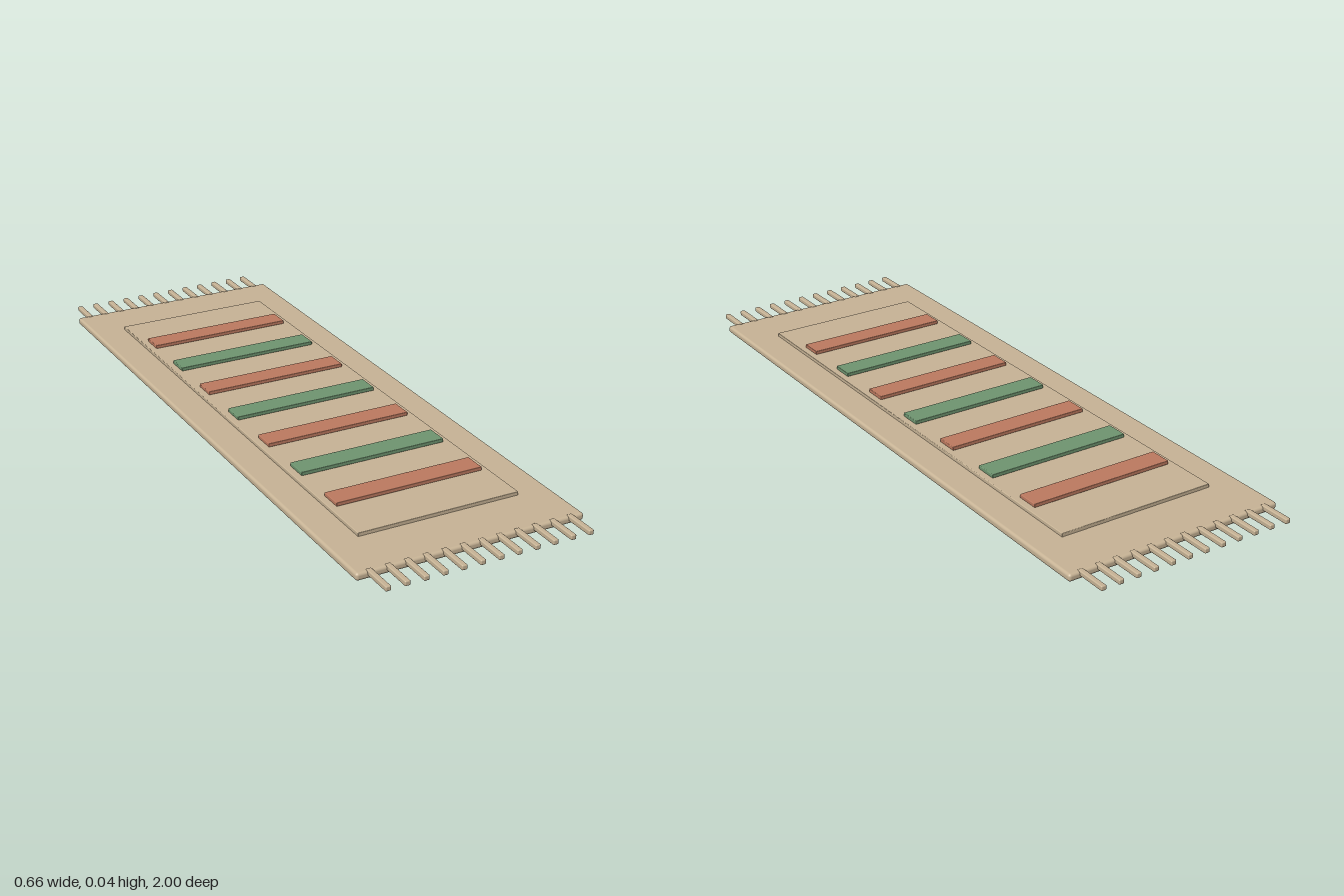
import * as THREE from 'three';
import { RoundedBoxGeometry } from 'three/addons/geometries/RoundedBoxGeometry.js';

const material = (name, color) => {
  const m = new THREE.MeshStandardMaterial({ color });
  m.name = name;
  return m;
};

export function createModel() {
  const rug = new THREE.Group();
  rug.name = 'rug';
  const wool = material('beige wool', 0xc8b496);
  const terracotta = material('terracotta', 0xbd7a60);
  const green = material('sage green', 0x6f9570);

  // Softly rounded slab spanning y0..y1
  const slab = (name, mat, width, y0, y1, depth, radius, x = 0, z = 0) => {
    const mesh = new THREE.Mesh(new RoundedBoxGeometry(width, y1 - y0, depth, 3, radius), mat);
    mesh.name = name;
    mesh.position.set(x, (y0 + y1) / 2, z);
    rug.add(mesh);
  };

  // Woven body and raised centre field
  slab('rugBody', wool, 0.664, 0, 0.0215, 1.828, 0.008);
  slab('centreField', wool, 0.476, 0.019, 0.0315, 1.51, 0.002);

  // Alternating stripes across the field
  for (let i = 0; i < 7; i++) {
    slab('stripe', i % 2 ? green : terracotta, 0.438, 0.031, 0.042, 0.066, 0.002, 0, (i - 3) * 0.192);
  }

  // Tassels along both short ends
  for (const end of [-1, 1]) {
    for (let i = 0; i < 12; i++) {
      slab('tassel', wool, 0.0155, 0.0095, 0.0235, 0.098, 0.003, (i - 5.5) * 0.0532, end * 0.951);
    }
  }
  return rug;
}
